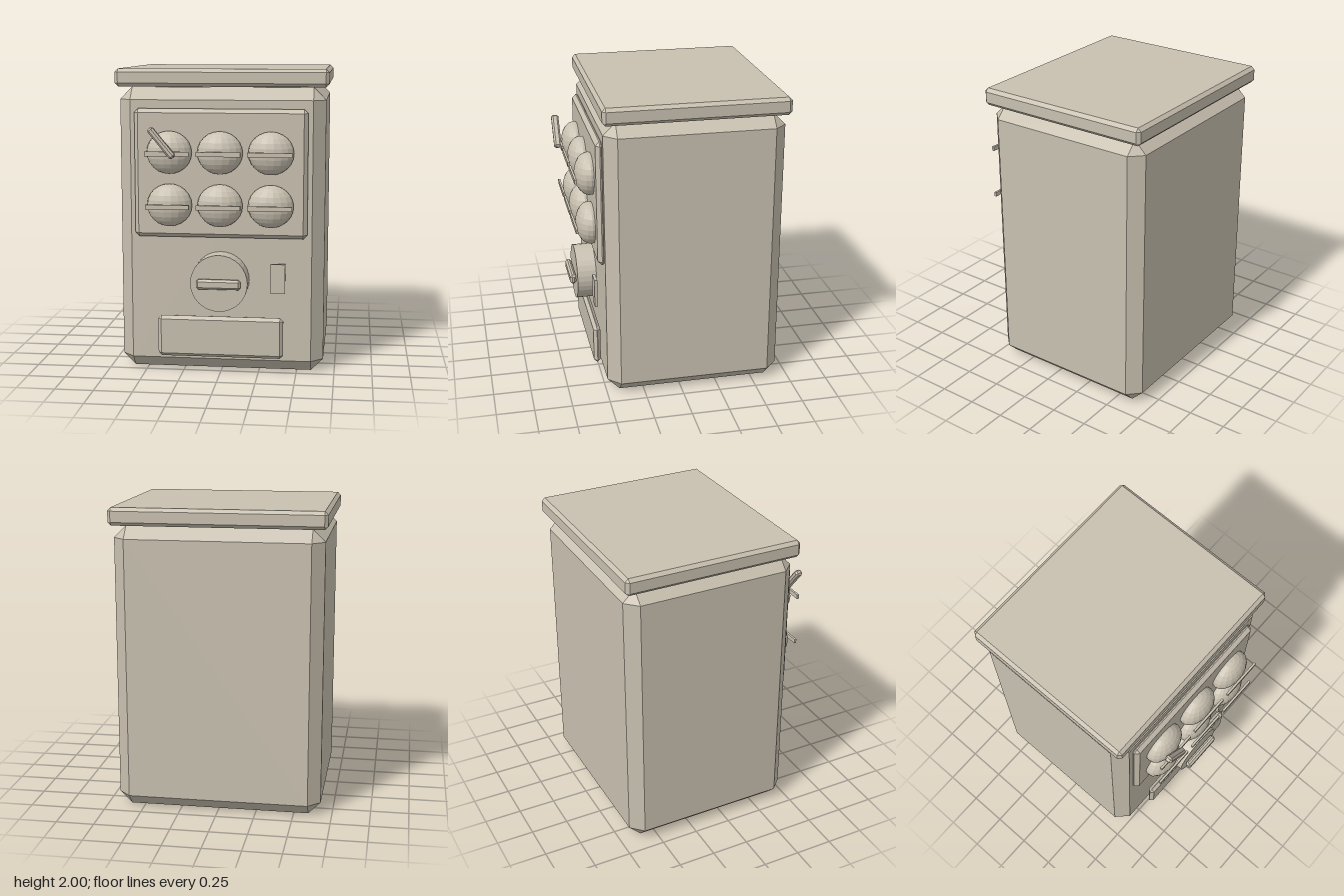
import * as THREE from 'three';
import { ConvexGeometry } from 'three/addons/geometries/ConvexGeometry.js';

// Box with flat chamfers on every edge: three inset corner points per corner.
function chamferBox(w, h, d, c) {
  const points = [];
  for (const sx of [-1, 1]) for (const sy of [-1, 1]) for (const sz of [-1, 1]) {
    const x = w / 2, y = h / 2, z = d / 2;
    points.push(
      new THREE.Vector3(sx * x, sy * (y - c), sz * (z - c)),
      new THREE.Vector3(sx * (x - c), sy * y, sz * (z - c)),
      new THREE.Vector3(sx * (x - c), sy * (y - c), sz * z)
    );
  }
  return new ConvexGeometry(points);
}

export function createModel() {
  const model = new THREE.Group();
  model.name = 'capsuleMachine';

  const stone = new THREE.MeshStandardMaterial({ color: 0xc8c0b0 });
  stone.name = 'warmGrey';
  stone.flatShading = true;

  function add(name, geometry, x, y, z, parent = model) {
    const mesh = new THREE.Mesh(geometry, stone);
    mesh.name = name;
    mesh.position.set(x, y, z);
    parent.add(mesh);
    return mesh;
  }

  // Cabinet and overhanging lid
  add('cabinet', chamferBox(1.35, 1.88, 1.17, 0.08), 0, 0.94, -0.095);
  add('lid', chamferBox(1.39, 0.115, 1.2, 0.022), 0, 1.9425, -0.096);

  // Raised display panel
  add('displayPanel', chamferBox(1.13, 0.84, 0.06, 0.026), 0, 1.325, 0.5);

  // Two rows of three capsules, each with a seam band in front
  const capsules = new THREE.Group();
  capsules.name = 'capsules';
  model.add(capsules);
  for (const y of [1.465, 1.122]) {
    for (const x of [-0.33, 0, 0.33]) {
      const ball = add('capsule', new THREE.SphereGeometry(1, 18, 12), x, y, 0.547, capsules);
      ball.scale.set(0.148, 0.139, 0.094);
      add('capsuleBand', new THREE.BoxGeometry(0.285, 0.03, 0.015), x, y, 0.65, capsules);
    }
  }

  // Slanted highlight bar over the upper capsule
  const bar = add('slantedBar', chamferBox(0.042, 0.24, 0.05, 0.012), -0.36, 1.536, 0.67);
  bar.rotation.z = 0.69;

  // Turning knob with its grip
  const knob = add('knob', new THREE.CylinderGeometry(0.187, 0.187, 0.13, 32), 0, 0.622, 0.555);
  knob.rotation.x = Math.PI / 2;
  add('knobGrip', chamferBox(0.29, 0.065, 0.042, 0.014), 0, 0.622, 0.645);

  // Coin plate and delivery flap
  add('coinPlate', new THREE.BoxGeometry(0.095, 0.195, 0.02), 0.378, 0.643, 0.53);
  add('deliveryFlap', chamferBox(0.83, 0.275, 0.047, 0.022), 0, 0.242, 0.527);

  return model;
}
